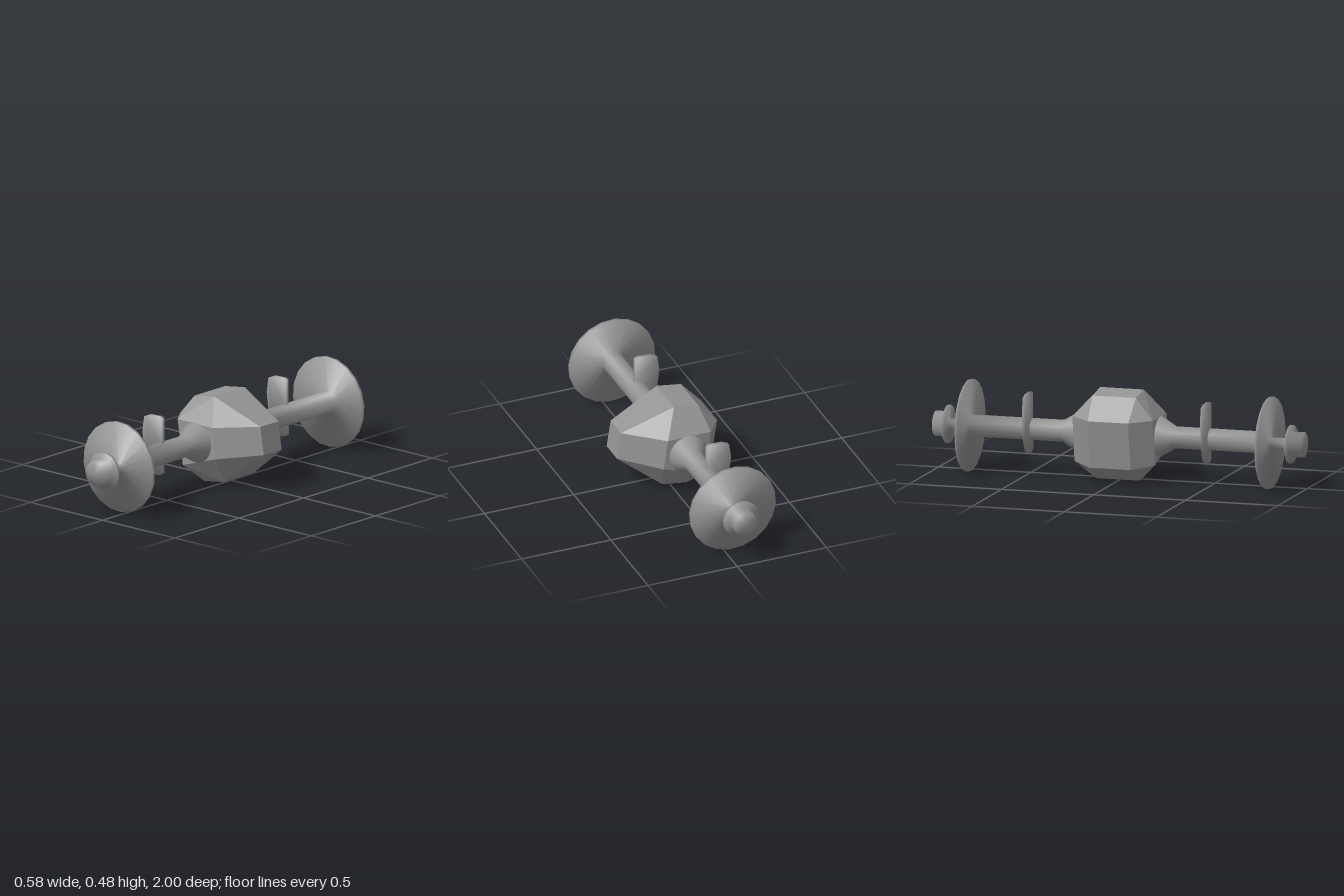
import * as THREE from 'three';
import { ConvexGeometry } from 'three/addons/geometries/ConvexGeometry.js';

const AXIS_X = -0.05, AXIS_Y = 0.24;
const GREY = 0x949494;
const SEGMENTS = 20;

// Round part about z; profile is [radius, distance], with normals blended evenly over every edge
function turned(profile, side) {
  const points = profile.map(([r, z]) => new THREE.Vector2(r, z));
  const phase = side * THREE.MathUtils.degToRad(4.8);
  const geometry = new THREE.LatheGeometry(points, SEGMENTS, phase, Math.PI * 2);
  const edgeNormals = points.slice(1).map((p, j) => {
    const d = p.clone().sub(points[j]).normalize();
    return new THREE.Vector2(d.y, -d.x);
  });
  const blended = points.map((_, j) => {
    const before = edgeNormals[Math.max(j - 1, 0)];
    const after = edgeNormals[Math.min(j, edgeNormals.length - 1)];
    return before.clone().add(after).normalize();
  });
  const normal = geometry.attributes.normal;
  for (let i = 0; i < normal.count; i++) {
    const n = blended[i % points.length];
    const phi = phase + Math.floor(i / points.length) * Math.PI * 2 / SEGMENTS;
    normal.setXYZ(i, n.x * Math.sin(phi), n.y, n.x * Math.cos(phi));
  }
  geometry.rotateX(Math.PI / 2);
  if (side < 0) geometry.rotateY(Math.PI);
  return geometry;
}

// Thin leaf-shaped plate hooked over the rear of the tube, shaded as a rounded piece
function bracketGeometry(z) {
  const outline = [
    [-0.04, 0.432], [-0.06, 0.438], [-0.13, 0.435], [-0.165, 0.42], [-0.177, 0.34], [-0.167, 0.26],
    [-0.15, 0.17], [-0.125, 0.135], [-0.095, 0.12], [-0.06, 0.122], [-0.038, 0.135], [-0.04, 0.28],
  ];
  const shape = new THREE.Shape(outline.map(([x, y]) => new THREE.Vector2(x - AXIS_X, y - AXIS_Y)));
  const geometry = new THREE.ExtrudeGeometry(shape, { depth: 0.018, bevelEnabled: false });
  geometry.translate(0, 0, -0.009);
  const { position, normal } = geometry.attributes;
  const n = new THREE.Vector3();
  for (let i = 0; i < position.count; i++) {
    n.set((position.getX(i) + 0.057) / 0.07, (position.getY(i) - 0.04) / 0.16, 0).normalize();
    n.z = Math.sign(position.getZ(i));
    n.normalize();
    normal.setXYZ(i, n.x, n.y, n.z);
  }
  return geometry.translate(0, 0, z);
}

// Chamfered block with a taller rear and the nose drawn out to +x
function housingGeometry() {
  const corners = [];
  for (const v of [-1, 1]) {
    for (const w of [-1, 1]) {
      corners.push(
        new THREE.Vector3(0.328, -0.009 + v * 0.075, w * 0.07), // nose
        new THREE.Vector3(0.126, v * 0.083, w * 0.218), // sides, front edge
        new THREE.Vector3(-0.11, v * 0.122, w * 0.218), // sides, rear edge
        new THREE.Vector3(-0.19, v * 0.127, w * 0.11), // rear
        new THREE.Vector3(0.072, v * 0.226, w * 0.118), // top and bottom
        new THREE.Vector3(-0.066, v * 0.226, w * 0.118),
      );
    }
  }
  return new ConvexGeometry(corners);
}

export function createModel() {
  const model = new THREE.Group();
  const smooth = new THREE.MeshStandardMaterial({ color: GREY });
  const faceted = new THREE.MeshStandardMaterial({ color: GREY, flatShading: true });

  const axle = new THREE.Group();
  axle.name = 'axle';
  axle.position.set(AXIS_X, AXIS_Y, 0);
  model.add(axle);

  const add = (name, geometry, material) => {
    const mesh = new THREE.Mesh(geometry, material);
    mesh.name = name;
    axle.add(mesh);
    return mesh;
  };

  const housing = add('differentialHousing', housingGeometry(), faceted);
  housing.rotation.z = THREE.MathUtils.degToRad(8.5);

  // Flared tube, brake disc, stub shaft, wheel flange and hub in one run
  const profile = [
    [0.105, 0.2], [0.105, 0.222], [0.057, 0.305], [0.057, 0.805],
    [0.24, 0.805], [0.24, 0.823], [0.03, 0.823],
    [0.03, 0.922], [0.1, 0.922], [0.1, 0.937],
    [0.066, 0.937], [0.066, 1], [0, 1],
  ];
  for (const side of [1, -1]) {
    const end = side > 0 ? 'front' : 'rear';
    add(end + 'TubeDiscAndHub', turned(profile, side), smooth);
    add(end + 'SpringBracket', bracketGeometry(side * 0.483), smooth);
  }
  return model;
}
